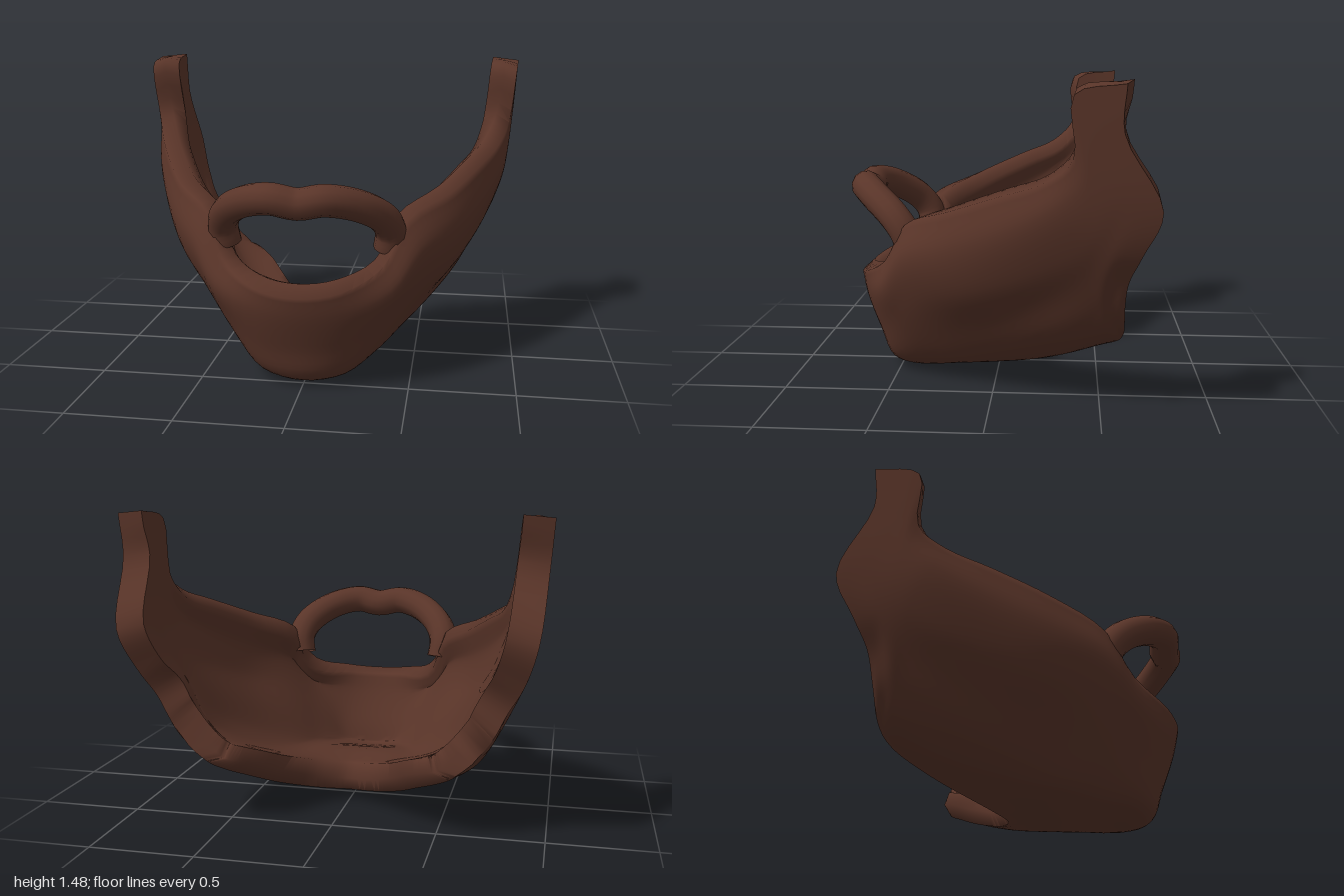
import * as THREE from 'three';
import { toCreasedNormals } from 'three/addons/utils/BufferGeometryUtils.js';

const V = (x, y, z) => new THREE.Vector3(x, y, z);

// Guide lines from the chin centre to the left ear, listed from top rim to throat edge.
const topRim = [[0, .485, .705], [.2, .51, .665], [.375, .6, .53], [.48, .8, .41], [.67, .89, .2],
  [.81, .985, -.05], [.9, 1.06, -.25], [.95, 1.16, -.365], [.98, 1.425, -.365], [.995, 1.47, -.575]];
const cheek = [[0, .38, .68], [.2, .4, .65], [.42, .48, .54], [.55, .65, .42], [.71, .72, .2],
  [.84, .82, -.06], [.93, .95, -.29], [.955, 1.05, -.41], [.97, 1.2, -.45], [.98, 1.27, -.57]];
const side = [[0, .2, .615], [.21, .22, .58], [.39, .33, .48], [.53, .46, .36], [.69, .53, .12],
  [.81, .64, -.16], [.9, .78, -.4], [.93, .87, -.47], [.95, .97, -.58], [.95, .95, -.735]];
const jaw = [[0, .05, .56], [.2, .07, .51], [.35, .17, .38], [.47, .27, .22], [.62, .38, -.02],
  [.74, .5, -.25], [.83, .62, -.43], [.87, .69, -.49], [.9, .76, -.56], [.89, .75, -.66]];
const underJaw = [[0, 0, .44], [.19, .03, .38], [.32, .09, .26], [.42, .15, .08], [.56, .25, -.14],
  [.68, .36, -.33], [.76, .47, -.47], [.8, .54, -.51], [.82, .61, -.56], [.82, .62, -.61]];
const throat = [[0, .065, .1], [.17, .075, .05], [.28, .09, -.05], [.38, .125, -.15], [.49, .19, -.3],
  [.6, .275, -.43], [.69, .36, -.52], [.72, .41, -.55], [.75, .46, -.58], [.76, .5, -.6]];
const throatEdge = [[0, .06, -.14], [.12, .075, -.19], [.23, .115, -.29], [.32, .16, -.39],
  [.41, .215, -.49], [.5, .26, -.56], [.57, .295, -.59], [.6, .32, -.6], [.63, .345, -.605], [.67, .38, -.605]];

// Guide mirrored to run from the right ear to the left ear
function guideCurve(half) {
  const right = half.slice(1).reverse().map(([x, y, z]) => V(-x, y, z));
  return new THREE.CatmullRomCurve3([...right, ...half.map(p => V(...p))]);
}

// Thick shell lofted through the guides, with rounded rims and closed ear ends
function beardGeometry() {
  const NU = 72, NV = 30, THICKNESS = 0.14;
  const guides = [topRim, cheek, side, jaw, underJaw, throat, throatEdge].map(guideCurve);
  const outer = [];
  for (let i = 0; i <= NU; i++) {
    const column = new THREE.CatmullRomCurve3(guides.map(g => g.getPoint(i / NU)));
    for (let j = 0; j <= NV; j++) outer.push(column.getPoint(j / NV));
  }
  const at = (i, j) => outer[i * (NV + 1) + j];

  // Outward direction, taken a little inside the border so the corners stay even
  const normal = (i, j) => {
    const u = THREE.MathUtils.clamp(i, 7, NU - 7), v = THREE.MathUtils.clamp(j, 2, NV - 5);
    const du = at(u + 2, v).clone().sub(at(u - 2, v));
    const dv = at(u, v + 2).clone().sub(at(u, v - 2));
    return dv.cross(du).normalize();
  };

  const M = 2 * NV + 4, points = [], index = [];
  for (let i = 0; i <= NU; i++) {
    const out = [], inn = [];
    for (let j = 0; j <= NV; j++) {
      out.push(at(i, j));
      inn.push(at(i, j).clone().addScaledVector(normal(i, j), -THICKNESS));
    }
    // Rims bulge along the beard and flatten towards the ear ends
    const bulge = 0.04 * Math.min(1, Math.min(i, NU - i) / 8);
    const rim = (j, next) => out[j].clone().add(inn[j]).multiplyScalar(0.5)
      .addScaledVector(out[j].clone().sub(out[next]).normalize(), bulge);
    const topEdge = rim(0, 1), bottomEdge = rim(NV, NV - 1);
    points.push(...out, bottomEdge, ...inn.reverse(), topEdge);
  }
  for (let i = 0; i < NU; i++) {
    for (let j = 0; j < M; j++) {
      const a = i * M + j, c = i * M + (j + 1) % M, b = a + M, d = c + M;
      index.push(a, c, b, b, c, d);
    }
  }
  // Ear end caps
  for (const [start, flip] of [[0, false], [NU * M, true]]) {
    const tri = (a, b, c) => index.push(start + a, start + (flip ? c : b), start + (flip ? b : c));
    for (let j = 0; j < NV; j++) {
      const k = 2 * NV + 2 - j;
      tri(j, k, j + 1);
      tri(j + 1, k, k - 1);
    }
    tri(NV, NV + 2, NV + 1);
    tri(0, 2 * NV + 3, 2 * NV + 2);
  }
  const geometry = new THREE.BufferGeometry().setFromPoints(points);
  geometry.setIndex(index);
  return toCreasedNormals(geometry, 1.2);
}

// Arched bar over the mouth, sunk into the beard at both corners
function moustacheGeometry() {
  const half = [[0, .912, .66], [.12, .932, .663], [.26, .9, .59], [.37, .82, .48],
    [.4, .74, .42], [.39, .66, .4]];
  return new THREE.TubeGeometry(guideCurve(half), 48, 0.074, 12);
}

export function createModel() {
  const group = new THREE.Group();
  group.name = 'fullBeard';
  const material = new THREE.MeshStandardMaterial({ color: 0x5a3529, side: THREE.DoubleSide });
  const parts = { beard: beardGeometry(), moustache: moustacheGeometry() };
  for (const [name, geometry] of Object.entries(parts)) {
    const mesh = new THREE.Mesh(geometry, material);
    mesh.name = name;
    group.add(mesh);
  }
  return group;
}
